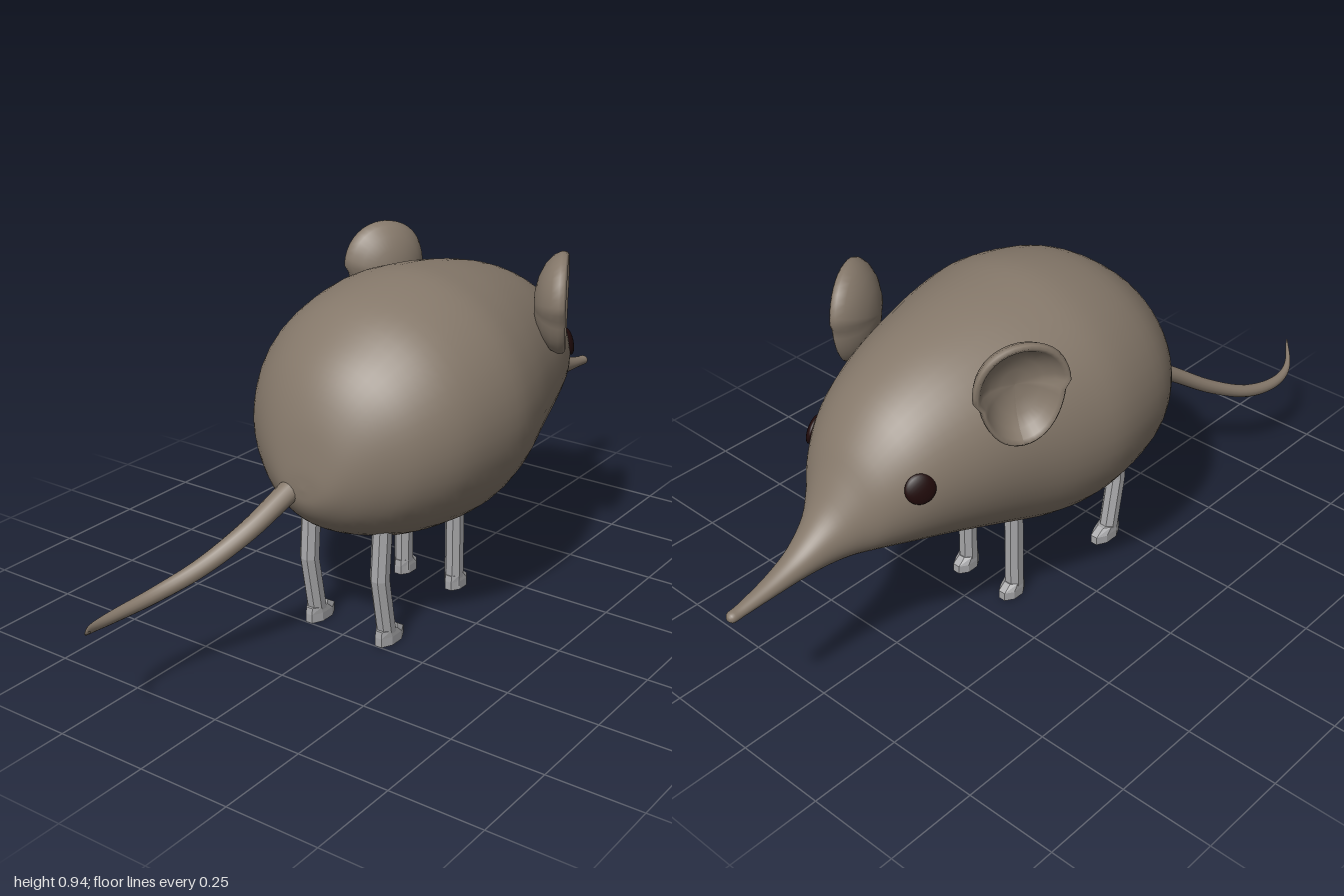
import * as THREE from 'three';

const fur = new THREE.MeshStandardMaterial({ color: 0x85786a });
fur.name = 'fur';
const skin = new THREE.MeshStandardMaterial({ color: 0xa6a6a8 });
skin.name = 'legGrey';
const dark = new THREE.MeshStandardMaterial({ color: 0x200a0a });
dark.name = 'eyeDark';

function addMesh(parent, name, geometry, material) {
  const mesh = new THREE.Mesh(geometry, material);
  mesh.name = name;
  parent.add(mesh);
  return mesh;
}

// Joins rings of points into a closed skin, with a fan at each end
function loft(rings, flat = false) {
  const n = rings[0].length, last = rings.length - 1;
  const pos = rings.flat(2), index = [];
  for (let i = 0; i < last; i++) {
    for (let j = 0; j < n; j++) {
      const k = (j + 1) % n, a = i * n, b = a + n;
      index.push(a + j, a + k, b + k, a + j, b + k, b + j);
    }
  }
  [rings[0], rings[last]].forEach((ring, end) => {
    const c = pos.length / 3, base = end * last * n;
    pos.push(...[0, 1, 2].map(d => ring.reduce((s, p) => s + p[d], 0) / n));
    for (let j = 0; j < n; j++) {
      const k = (j + 1) % n;
      index.push(c, base + (end ? j : k), base + (end ? k : j));
    }
  });
  let g = new THREE.BufferGeometry();
  g.setAttribute('position', new THREE.Float32BufferAttribute(pos, 3));
  g.setIndex(index);
  if (flat) g = g.toNonIndexed();
  g.computeVertexNormals();
  return g;
}

// Upright ring across the x axis
function ringX(x, y, z, ry, rz, n) {
  return Array.from({ length: n }, (_, j) => {
    const a = (j / n) * Math.PI * 2;
    return [x, y + ry * Math.cos(a), z + rz * Math.sin(a)];
  });
}

// Level ring across the y axis
function ringY(x, y, z, rx, rz, n = 8) {
  return Array.from({ length: n }, (_, j) => {
    const a = ((j + 0.5) / n) * Math.PI * 2;
    return [x + rx * Math.sin(a), y, z + rz * Math.cos(a)];
  });
}

const spline = pts => new THREE.CatmullRomCurve3(pts.map(p => new THREE.Vector3(...p)), false, 'catmullrom', 0.5);

// Body, head and snout: x, top, bottom, half width
function bodyGeometry() {
  const s = [
    [-0.403, 0.47, 0.46, 0.006], [-0.398, 0.53, 0.42, 0.065], [-0.375, 0.635, 0.38, 0.125],
    [-0.33, 0.73, 0.338, 0.195], [-0.26, 0.805, 0.3, 0.268], [-0.15, 0.874, 0.262, 0.328],
    [0.01, 0.91, 0.24, 0.355], [0.14, 0.905, 0.25, 0.337], [0.28, 0.882, 0.294, 0.294],
    [0.42, 0.84, 0.342, 0.249], [0.54, 0.775, 0.377, 0.2], [0.62, 0.695, 0.395, 0.148],
    [0.67, 0.615, 0.4, 0.1], [0.72, 0.54, 0.401, 0.065], [0.79, 0.48, 0.4, 0.041],
    [0.87, 0.443, 0.395, 0.027], [0.96, 0.418, 0.389, 0.017], [0.99, 0.414, 0.387, 0.015],
    [1.0, 0.406, 0.394, 0.007],
  ];
  const heights = spline(s.map(p => [p[0], p[1], p[2]]));
  const widths = spline(s.map(p => [p[0], p[3], 0]));
  const rings = [], steps = (s.length - 1) * 4;
  for (let i = 0; i <= steps; i++) {
    const h = heights.getPoint(i / steps), w = widths.getPoint(i / steps);
    rings.push(ringX(h.x, (h.y + h.z) / 2, 0, Math.abs(h.y - h.z) / 2, w.y, 48));
  }
  return loft(rings);
}

// Tail, from tip to root
function tailGeometry() {
  const path = spline([
    [-1, 0.295, -0.145], [-0.925, 0.261, -0.2], [-0.84, 0.25, -0.214], [-0.73, 0.263, -0.192],
    [-0.62, 0.308, -0.138], [-0.51, 0.378, -0.082], [-0.4, 0.442, -0.052], [-0.33, 0.47, -0.04],
  ]);
  const rings = [];
  for (let i = 0; i <= 42; i++) {
    const t = i / 42, p = path.getPoint(t);
    const r = 0.002 + 0.03 * Math.pow(t, 0.65);
    rings.push(ringX(p.x, p.y, p.z, r, r, 14));
  }
  return loft(rings);
}

// Cupped ear with a rounded rim, narrower at the bottom, opening toward +z
function earGeometry() {
  const profile = [
    [0, -0.05], [0.3, -0.047], [0.55, -0.036], [0.75, -0.018], [0.87, 0.004], [0.94, 0.012],
    [0.99, 0.006], [1, -0.006], [0.93, -0.026], [0.75, -0.048], [0.5, -0.064], [0.25, -0.072], [0, -0.074],
  ].reverse().map(p => new THREE.Vector2(...p));
  const g = new THREE.LatheGeometry(profile, 40);
  g.rotateX(Math.PI / 2);
  const p = g.attributes.position;
  for (let i = 0; i < p.count; i++) {
    const y = p.getY(i);
    p.setXY(i, p.getX(i) * 0.117 * (1 + 0.13 * y - 0.1 * (1 - y * y) * (y < 0 ? 1 : 0)), y * 0.135);
  }
  g.computeVertexNormals();
  return g;
}

// Faceted leg with a short foot pointing forward; path runs upward as x, y
function addLeg(parent, name, path, heel, toe, z) {
  const leg = new THREE.Group();
  leg.name = name;
  addMesh(leg, 'shin', loft(path.map(([x, y]) => ringY(x, y, z, 0.026, 0.026)), true), skin);
  const mid = (heel + toe) / 2, r = (toe - heel) / 2;
  addMesh(leg, 'foot', loft([
    ringY(mid, 0, z, r * 1.05, 0.027), ringY(mid, 0.024, z, r * 1.05, 0.027),
    ringY(mid - r * 0.25, 0.042, z, r * 0.72, 0.025),
  ], true), skin);
  parent.add(leg);
}

export function createModel() {
  const model = new THREE.Group();
  model.name = 'shrew';
  addMesh(model, 'body', bodyGeometry(), fur);
  addMesh(model, 'tail', tailGeometry(), fur);

  const earGeo = earGeometry();
  const eyeGeo = new THREE.SphereGeometry(0.038, 24, 16).scale(1, 1, 0.35);
  for (const side of [1, -1]) {
    const label = side > 0 ? 'near' : 'far';

    // Ears open outward and forward
    const ear = addMesh(model, label + 'Ear', earGeo, fur);
    ear.position.set(0.332, 0.8, side * 0.285);
    ear.rotation.set(0, side > 0 ? 0.48 : Math.PI - 0.48, 0);

    // Eyes lie flat on the face
    const eye = addMesh(model, label + 'Eye', eyeGeo, dark);
    eye.position.set(0.562, 0.613, side * 0.181);
    eye.quaternion.setFromUnitVectors(new THREE.Vector3(0, 0, 1),
      new THREE.Vector3(0.45, 0.27, side * 0.85).normalize());

    addLeg(model, label + 'FrontLeg', [[0.145, 0.01], [0.145, 0.33]], 0.115, 0.195, side * 0.084);
    addLeg(model, label + 'RearLeg', [[-0.21, 0.015], [-0.24, 0.19], [-0.225, 0.37]], -0.25, -0.15, side * 0.112);
  }
  return model;
}
